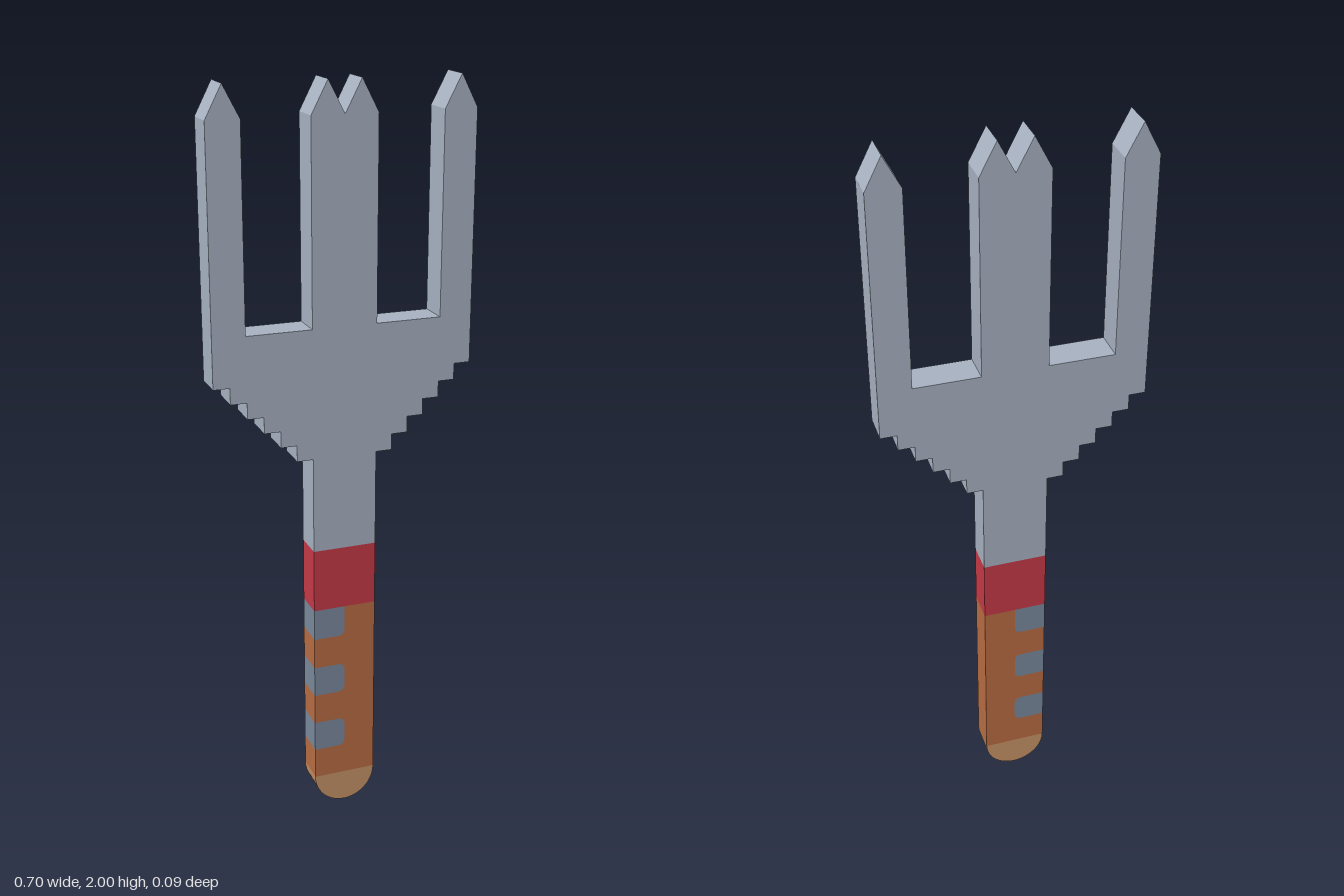
import * as THREE from 'three';

const DEPTH = 0.086;
const HALF = 0.087; // half width of the shaft
const STEP = 0.0435; // side of one stair step

const colour = (name, hex) => {
  const m = new THREE.MeshStandardMaterial({ color: hex });
  m.name = name;
  return m;
};

export function createModel() {
  const steel = colour('steel', 0xa9b3c3);
  const red = colour('red', 0xc63a47);
  const brown = colour('brown', 0xba6d44);
  const tan = colour('tan', 0xc89468);
  const slate = colour('slate', 0x7b8a9e);

  const group = new THREE.Group();
  group.name = 'gardenFork';

  const add = (name, geometry, material) => {
    const mesh = new THREE.Mesh(geometry, material);
    mesh.name = name;
    group.add(mesh);
    return mesh;
  };
  const extrude = (shape) =>
    new THREE.ExtrudeGeometry(shape, { depth: DEPTH, bevelEnabled: false, curveSegments: 5 })
      .translate(0, 0, -DEPTH / 2);

  // Fork head: right half outline from the shaft up to the centre notch, then mirrored
  const half = [[HALF, 0.785]];
  for (let i = 0; i < 6; i++) {
    const y = 1.046 + i * STEP;
    half.push([HALF + i * STEP, y], [HALF + (i + 1) * STEP, y]);
  }
  half.push(
    [0.348, 1.917], [0.3045, 2], [0.261, 1.917], [0.261, 1.393], // outer tine
    [HALF, 1.393], [HALF, 1.917], [0.0435, 2] // inner tine
  );
  const mirrored = half.map(([x, y]) => [-x, y]).reverse();
  const outline = [...half, [0, 1.917], ...mirrored];
  add('forkHead', extrude(new THREE.Shape(outline.map(([x, y]) => new THREE.Vector2(x, y)))), steel);

  // Collar between shaft and handle
  add('collar', new THREE.BoxGeometry(2 * HALF, 0.175, DEPTH).translate(0, 0.6975, 0), red);

  // Grip stripes: flush inlays on one side with rounded inner corners
  const R = 0.02;
  const stripes = [[0.523, 0.61, 0], [0.35, 0.436, R], [0.178, 0.264, R]];
  // Traces a stripe's inner edge from its lower outer corner to its upper outer corner
  const traceStripe = (path, [y0, y1, rTop]) => {
    path.lineTo(-HALF, y0);
    path.lineTo(-R, y0);
    path.quadraticCurveTo(0, y0, 0, y0 + R);
    path.lineTo(0, y1 - rTop);
    if (rTop) path.quadraticCurveTo(0, y1, -rTop, y1);
    path.lineTo(-HALF, y1);
  };
  stripes.forEach((s, i) => {
    const shape = new THREE.Shape();
    shape.moveTo(-HALF, s[0]);
    traceStripe(shape, s);
    shape.closePath();
    add(`gripStripe${i + 1}`, extrude(shape), slate);
  });

  // Handle, notched to receive the stripes
  const handle = new THREE.Shape();
  handle.moveTo(0, 0.61);
  handle.lineTo(HALF, 0.61);
  handle.lineTo(HALF, 0.09);
  handle.lineTo(-HALF, 0.09);
  [...stripes].reverse().forEach((s, i) => {
    if (i < 2) return traceStripe(handle, s);
    // the top stripe meets the collar
    handle.lineTo(-HALF, s[0]);
    handle.lineTo(-R, s[0]);
    handle.quadraticCurveTo(0, s[0], 0, s[0] + R);
    handle.lineTo(0, s[1]);
  });
  add('handle', extrude(handle), brown);

  // Rounded butt: half disc with a smooth rim
  add('handleEnd',
    new THREE.CylinderGeometry(HALF, 0.09, DEPTH, 32, 1, false, -Math.PI / 2, Math.PI)
      .scale(1, 1, 1).rotateX(Math.PI / 2).translate(0, 0.09, 0), tan);
  group.getObjectByName('handleEnd').geometry =
    new THREE.CylinderGeometry(HALF, HALF, DEPTH, 32, 1, false, -Math.PI / 2, Math.PI)
      .rotateX(Math.PI / 2).scale(1, 0.09 / HALF, 1).translate(0, 0.09, 0);

  return group;
}
